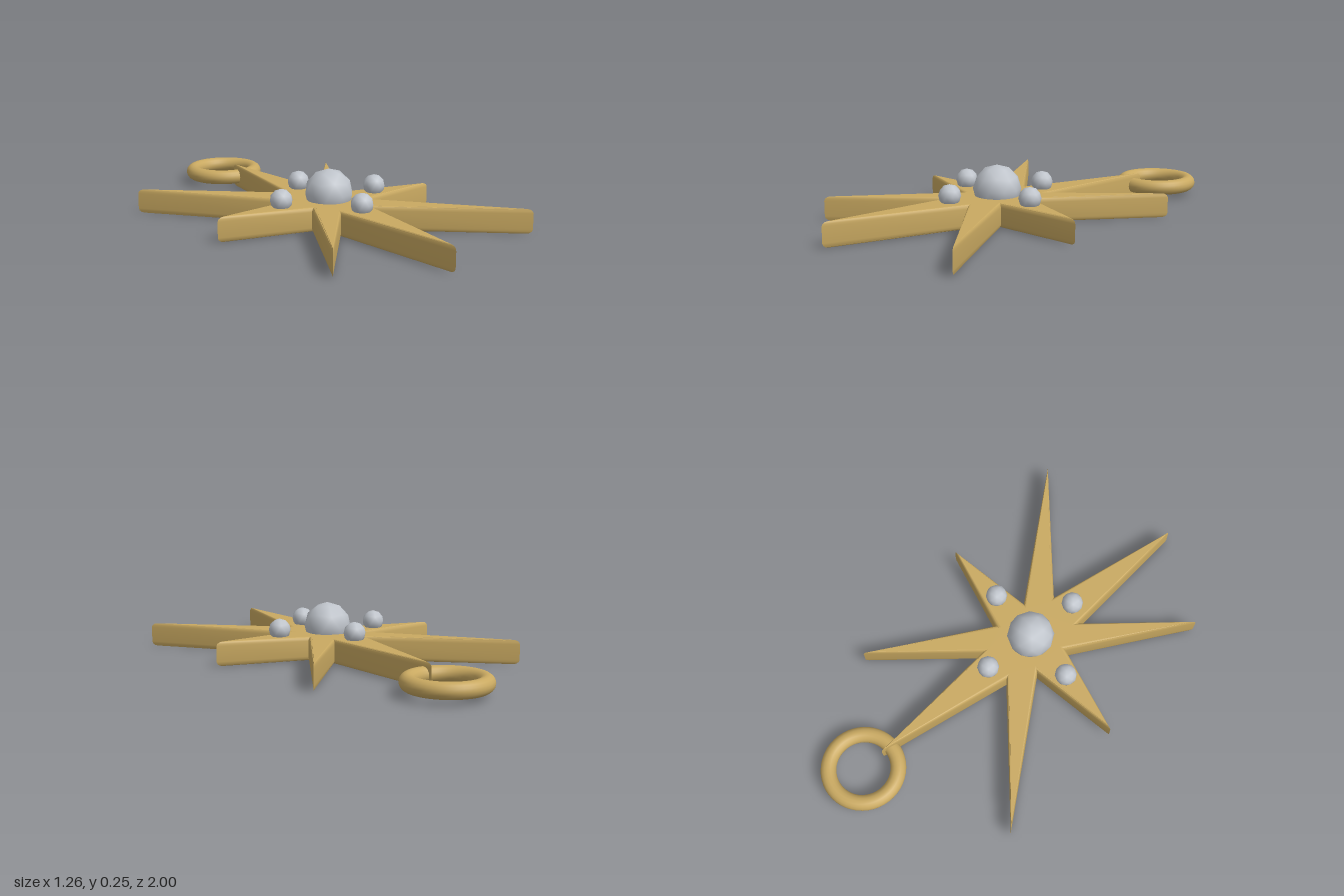
import * as THREE from 'three';
import { toCreasedNormals } from 'three/addons/utils/BufferGeometryUtils.js';

const gold = new THREE.MeshStandardMaterial({ name: 'gold', color: 0xc9a961 });
const silver = new THREE.MeshStandardMaterial({ name: 'silver', color: 0xc0c5cc });

const CENTRE_Z = 0.148;
const BEVEL = 0.02;

// Half of the star outline as [angle in degrees, radius]; the other half is turned 180 degrees.
const HALF_OUTLINE = [
  [0, 0.56], [31, 0.168], [45, 0.89], [68, 0.226],
  [90, 0.852], [112, 0.226], [123.3, 0.767], [148.5, 0.168],
];

function starGeometry() {
  const points = [];
  for (const turn of [0, 180]) {
    HALF_OUTLINE.forEach(([deg, radius], i) => {
      const a = THREE.MathUtils.degToRad(-deg - turn);
      const r = radius - (i % 2 ? 0.025 : BEVEL * Math.SQRT2); // room for the bevel
      points.push(new THREE.Vector2(Math.cos(a) * r, Math.sin(a) * r));
    });
  }
  const extruded = new THREE.ExtrudeGeometry(new THREE.Shape(points), {
    depth: 0.11 - 2 * BEVEL, bevelThickness: BEVEL, bevelSize: BEVEL, bevelSegments: 3,
  });
  extruded.rotateX(-Math.PI / 2).translate(0, BEVEL, 0);

  // Smooth rounded rim, flat top and bottom
  const caps = extruded.groups[0];
  const geometry = toCreasedNormals(extruded, 0.7);
  const { position, normal } = geometry.attributes;
  for (let i = caps.start; i < caps.start + caps.count; i++) {
    normal.setXYZ(i, 0, position.getY(i) > 0.055 ? 1 : -1, 0);
  }
  geometry.clearGroups();
  return geometry;
}

// Faceted ball with one corner pointing straight up
function ballGeometry(radius) {
  return new THREE.IcosahedronGeometry(radius, 1).rotateZ(-0.5536);
}

export function createModel() {
  const model = new THREE.Group();
  model.name = 'starPendant';

  function add(name, geometry, material, x, y, z) {
    const mesh = new THREE.Mesh(geometry, material);
    mesh.name = name;
    mesh.position.set(x, y, z);
    model.add(mesh);
  }

  // Eight-pointed body
  add('star', starGeometry(), gold, 0, 0, CENTRE_Z);

  // Hanging ring at the back tip
  const ring = new THREE.TorusGeometry(0.155, 0.035, 16, 48).rotateX(Math.PI / 2);
  add('hangingRing', ring, gold, 0, 0.055, -0.81);

  // Large centre stone and four small stones around it
  add('centreStone', ballGeometry(0.108), silver, 0, 0.14, CENTRE_Z);
  const small = ballGeometry(0.05);
  for (const [name, dx, dz] of [['left', 1, 0], ['right', -1, 0], ['front', 0, 1], ['back', 0, -1]]) {
    add(name + 'Stone', small, silver, dx * 0.248, 0.14, CENTRE_Z + dz * 0.248);
  }
  return model;
}
